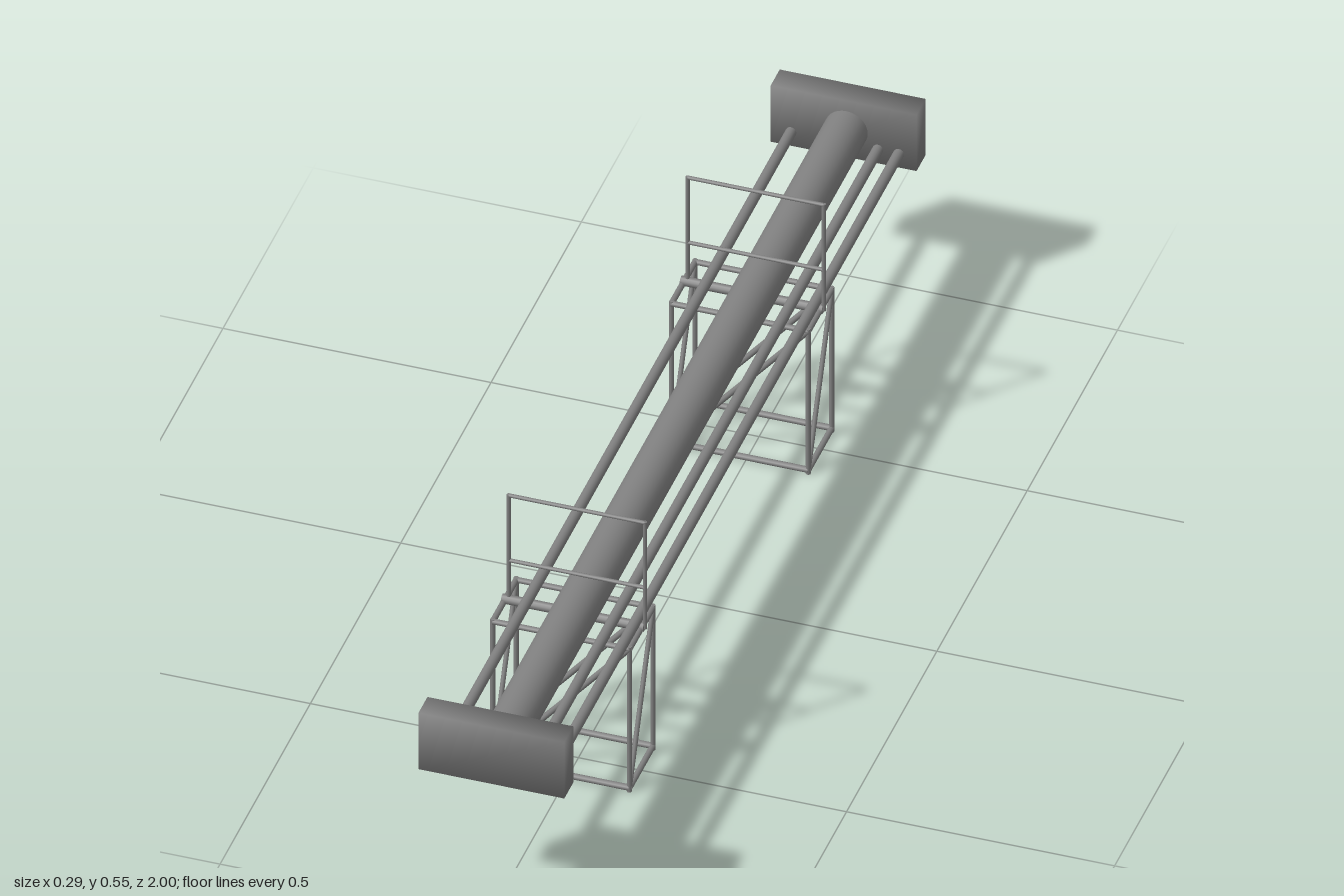
import * as THREE from 'three';

const material = new THREE.MeshStandardMaterial({ color: 0x808080 });
const V = (x, y, z) => new THREE.Vector3(x, y, z);

// Round bar between two points
function bar(name, a, b, radius, sides = 10) {
  const dir = b.clone().sub(a);
  const mesh = new THREE.Mesh(new THREE.CylinderGeometry(radius, radius, dir.length(), sides), material);
  mesh.name = name;
  mesh.position.copy(a).add(b).multiplyScalar(0.5);
  mesh.quaternion.setFromUnitVectors(V(0, 1, 0), dir.normalize());
  return mesh;
}

// End block, softly shaded: each corner normal points diagonally outwards
function endBlock(name, y, z) {
  const geo = new THREE.BoxGeometry(0.272, 0.124, 0.05);
  const pos = geo.attributes.position, n = V(0, 0, 0);
  for (let i = 0; i < pos.count; i++) {
    n.set(Math.sign(pos.getX(i)), Math.sign(pos.getY(i)), Math.sign(pos.getZ(i))).normalize();
    geo.attributes.normal.setXYZ(i, n.x, n.y, n.z);
  }
  const mesh = new THREE.Mesh(geo, material);
  mesh.name = name;
  mesh.position.set(0.006, y, z);
  return mesh;
}

// Braced trestle, centred on z = 0
function createTrestle() {
  const g = new THREE.Group();
  g.name = 'trestle';
  const x0 = -0.138, x1 = 0.117, z = 0.065, low = 0.008, high = 0.314;
  for (const x of [x0, x1]) {
    for (const s of [-1, 1]) g.add(bar('leg', V(x, 0, s * z), V(x, 0.319, s * z), 0.0045));
    g.add(bar('bottomSideBar', V(x, low, -z), V(x, low, z), 0.0055));
    g.add(bar('topSideBar', V(x, high, -z), V(x, high, z), 0.0055));
    g.add(bar('sideBrace', V(x, low, z), V(x, high, -z), 0.0045));
  }
  for (const s of [-1, 1]) {
    g.add(bar('bottomCrossBar', V(x0, low, s * z), V(x1, low, s * z), 0.006));
    g.add(bar('topCrossBar', V(x0, high, s * z), V(x1, high, s * z), 0.0055));
    g.add(bar('crossBrace', V(x0, low + 0.004, s * z), V(x1, high, s * z), 0.0055));
  }
  // Beam under the pipes
  g.add(bar('pipeBeam', V(-0.142, 0.318, 0), V(0.123, 0.318, 0), 0.009, 12));
  return g;
}

// Tall frame standing over the pipes, centred on z = 0
function createHoopFrame() {
  const g = new THREE.Group();
  g.name = 'hoopFrame';
  const x0 = -0.13, x1 = 0.124;
  for (const x of [x0, x1]) g.add(bar('framePost', V(x, 0.315, 0), V(x, 0.55, 0), 0.0038));
  for (const y of [0.405, 0.548]) g.add(bar('frameRail', V(x0, y, 0), V(x1, y, 0), 0.0038));
  return g;
}

export function createModel() {
  const model = new THREE.Group();
  model.name = 'pipeRack';

  // Pipes
  model.add(bar('mainPipe', V(0.011, 0.362, -0.956), V(0.011, 0.362, 0.945), 0.04, 32));
  for (const x of [-0.092, 0.07, 0.109])
    model.add(bar('thinPipe', V(x, 0.332, -0.965), V(x, 0.332, 0.965), 0.01, 16));

  // Ends
  model.add(endBlock('frontBlock', 0.36, 0.975), endBlock('backBlock', 0.363, -0.975));

  // Supports
  for (const z of [0.5, -0.49]) {
    const support = new THREE.Group();
    support.name = z > 0 ? 'frontSupport' : 'backSupport';
    support.add(createTrestle(), createHoopFrame());
    support.position.z = z;
    model.add(support);
  }
  return model;
}
